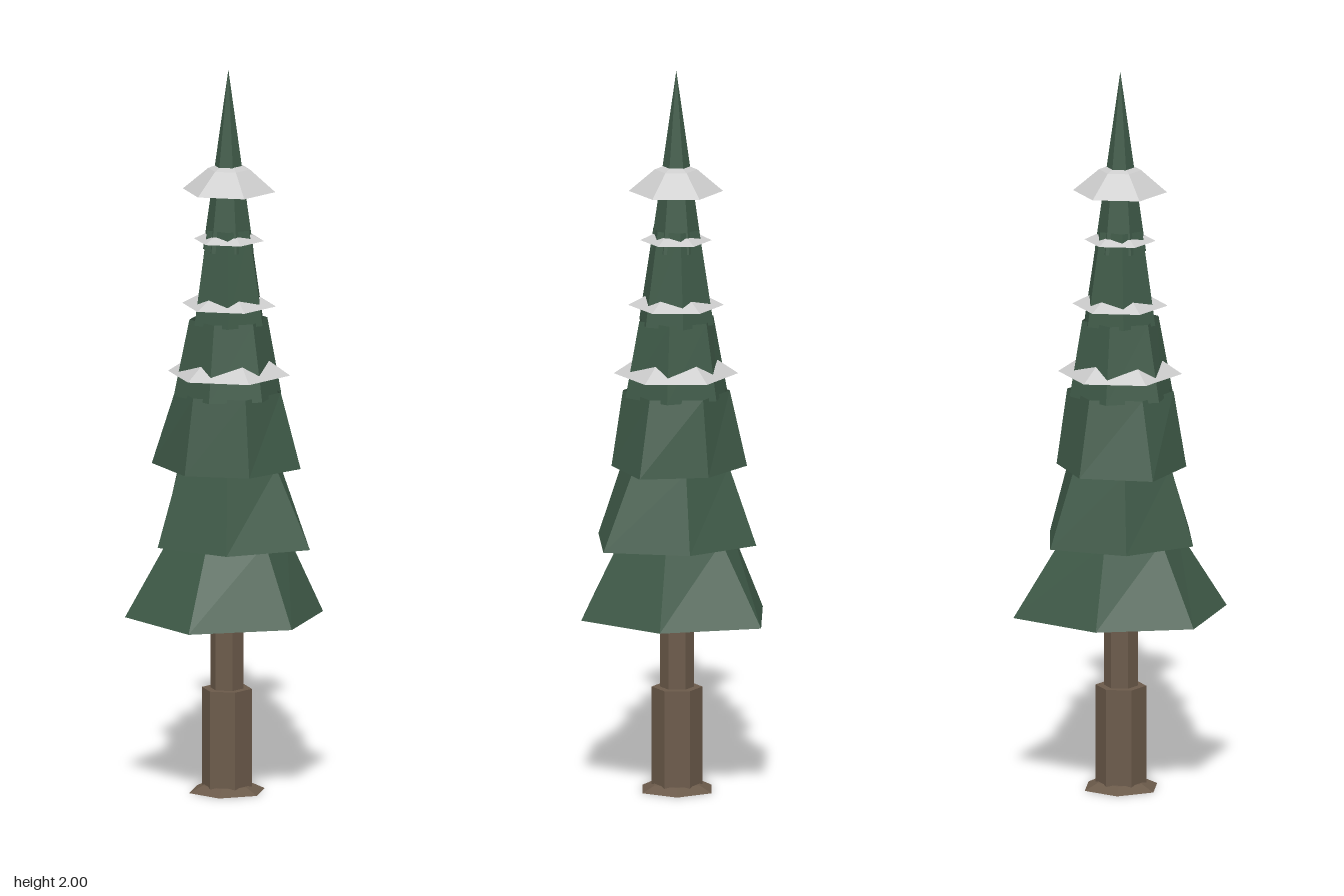
import * as THREE from 'three';

const SIDES = 6;
const AXIS_X = 0.012;

const green = new THREE.MeshStandardMaterial({ color: 0x3f5a48, flatShading: true, side: THREE.DoubleSide });
const bark = new THREE.MeshStandardMaterial({ color: 0x6b5a4a, flatShading: true });
const snow = new THREE.MeshStandardMaterial({ color: 0xcccccc, flatShading: true, side: THREE.DoubleSide });

// Six-sided shell through rings [radius or six radii, height], listed bottom to top.
// The phase is the angle in degrees of the first corner, from +x towards +z.
function hexShell(rings, phase) {
  const corner = ([r, y], i) => {
    const k = i % SIDES;
    const a = THREE.MathUtils.degToRad(phase + k * 60);
    const radius = Array.isArray(r) ? r[k] : r;
    return [radius * Math.cos(a), y, radius * Math.sin(a)];
  };
  const pos = [];
  for (let j = 0; j < rings.length - 1; j++) {
    const lo = rings[j], hi = rings[j + 1];
    for (let i = 0; i < SIDES; i++) {
      if (lo[0] !== 0) pos.push(...corner(lo, i), ...corner(hi, i), ...corner(lo, i + 1));
      if (hi[0] !== 0) pos.push(...corner(lo, i + 1), ...corner(hi, i), ...corner(hi, i + 1));
    }
  }
  const geo = new THREE.BufferGeometry();
  geo.setAttribute('position', new THREE.Float32BufferAttribute(pos, 3));
  geo.computeVertexNormals();
  return geo;
}

export function createModel() {
  const tree = new THREE.Group();
  tree.name = 'pineTree';
  const add = (name, rings, phase, material, x = AXIS_X) => {
    const mesh = new THREE.Mesh(hexShell(rings, phase), material);
    mesh.name = name;
    mesh.position.x = x;
    tree.add(mesh);
  };

  // Trunk: flared foot, thick lower part, thin upper part
  add('trunkFoot', [[0, 0], [0.108, 0], [0.07, 0.018], [0, 0.018]], 30, bark, 0.008);
  add('lowerTrunk', [[0, 0.005], [0.069, 0.005], [0.069, 0.285], [0, 0.285]], 0, bark, 0.008);
  add('upperTrunk', [[0.046, 0.28], [0.046, 0.9], [0, 0.9]], 0, bark, 0.008);

  // Foliage: open skirts with uneven hems, each turned against the one below
  const tiers = [
    { y: 0.49, top: 0.71, hem: [0.275, 0.298, 0.284, 0.25, 0.3, 0.26], r: 0.16, phase: 40 },
    { y: 0.695, top: 0.91, hem: [0.259, 0.225, 0.219, 0.205, 0.231, 0.211], r: 0.152, phase: 20 },
    { y: 0.9, top: 1.11, hem: [0.2, 0.176, 0.18, 0.212, 0.192, 0.174], r: 0.145, phase: 0 },
    { y: 1.1, top: 1.31, hem: [0.147, 0.146, 0.15, 0.147, 0.142, 0.145], r: 0.107, phase: 40 },
    { y: 1.3, top: 1.56, hem: [0.109, 0.107, 0.105, 0.104, 0.108, 0.107], r: 0.066, phase: 20 },
  ];
  tiers.forEach((t, i) => add(`foliageTier${i + 1}`, [[t.hem, t.y], [t.r, t.top]], t.phase, green));
  add('treeTip', [[0.07, 1.5], [0, 2]], 0, green);

  // Snow: thin collars with a flatter inner ring
  const collars = [
    { y: 1.158, r: 0.169, rise: 0.062 },
    { y: 1.348, r: 0.13, rise: 0.038 },
    { y: 1.528, r: 0.097, rise: 0.026 },
    { y: 1.665, r: 0.128, rise: 0.06 },
  ];
  collars.forEach(({ y, r, rise }, i) =>
    add(`snowCollar${i + 1}`, [[r, y], [r * 0.45, y + rise], [r * 0.25, y + rise * 1.17]], 0, snow, 0.014));

  return tree;
}
